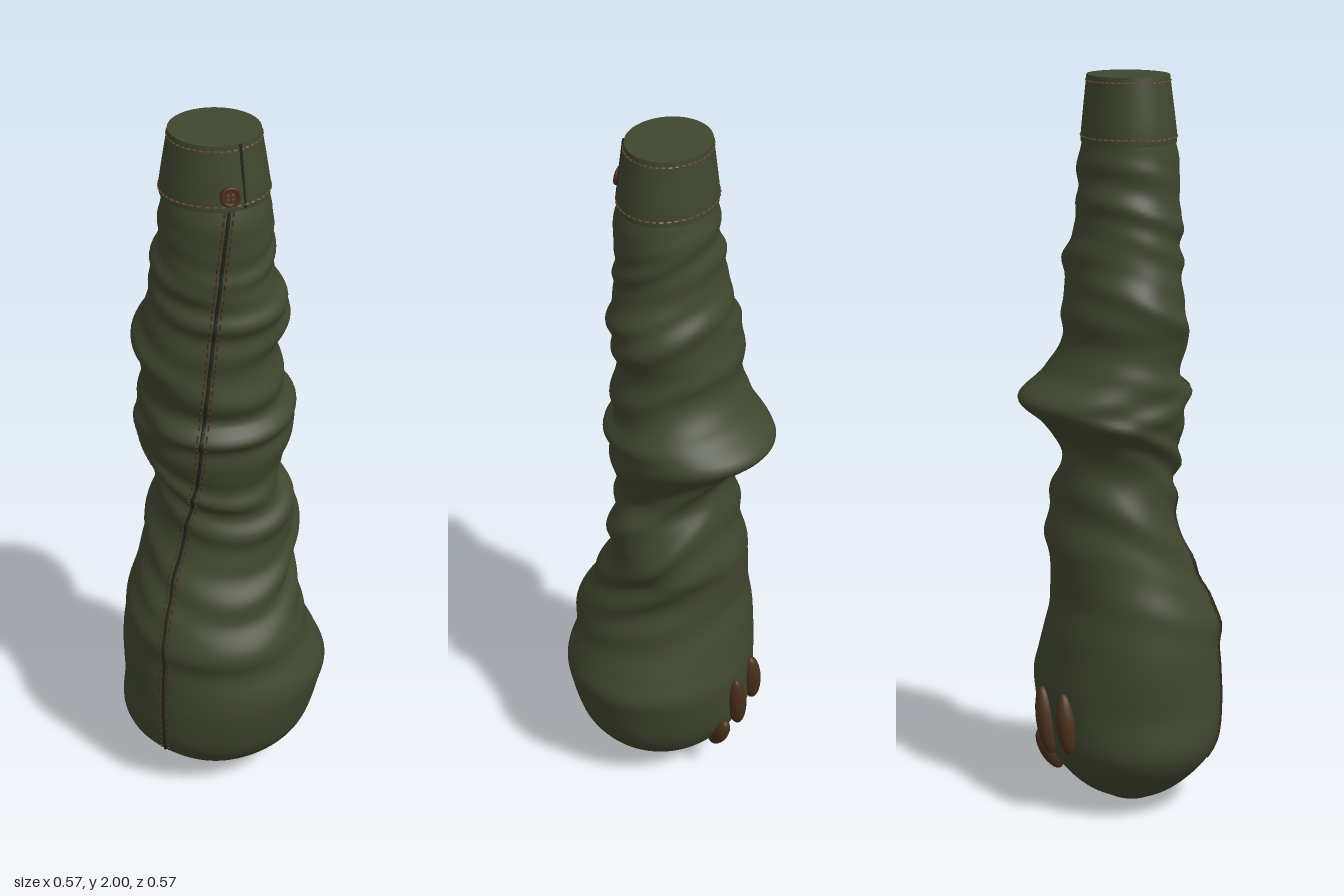
import * as THREE from 'three';
import { mergeGeometries } from 'three/addons/utils/BufferGeometryUtils.js';

const mat = (name, color) => Object.assign(new THREE.MeshStandardMaterial({ color }), { name });

// Sleeve outline, one row per height: y, -x side, +x side, front z, back z
const SLEEVE = [
  [0, -.03, -.03, .03, .03], [.006, -.08, .022, .075, -.02], [.02, -.115, .06, .11, -.05],
  [.05, -.172, .118, .158, -.105], [.1, -.233, .182, .212, -.158], [.15, -.272, .222, .252, -.192],
  [.2, -.288, .246, .271, -.212], [.3, -.282, .272, .286, -.222], [.36, -.284, .284, .284, -.223],
  [.42, -.285, .262, .276, -.215], [.5, -.28, .226, .268, -.205], [.6, -.263, .198, .232, -.187],
  [.7, -.236, .18, .182, -.196], [.75, -.225, .188, .165, -.2], [.82, -.21, .194, .148, -.182],
  [.9, -.196, .176, .142, -.165], [.96, -.19, .145, .148, -.161], [1.02, -.205, .158, .158, -.17],
  [1.08, -.235, .182, .168, -.21], [1.15, -.242, .188, .17, -.284], [1.22, -.228, .165, .16, -.205],
  [1.3, -.225, .146, .158, -.16], [1.37, -.238, .142, .162, -.16], [1.45, -.224, .162, .155, -.146],
  [1.52, -.2, .16, .158, -.138], [1.6, -.192, .13, .156, -.122], [1.7, -.172, .124, .155, -.11],
  [1.78, -.164, .122, .156, -.104], [1.84, -.158, .108, .14, -.094],
];
const CUFF = [[1.825, -.166, .116, .146, -.1], [1.845, -.167, .117, .147, -.1], [2, -.143, .093, .129, -.086]];

// Diagonal folds: centre height, tilt, angle where strongest, half width, depth
const FOLDS = [
  [.56, .07, .5, .045, .013], [.68, .14, 1.1, .05, .016], [.8, .16, 1.5, .045, .015],
  [.78, .12, 3.6, .05, .014], [.95, .12, .9, .035, .013], [1.03, .1, -.6, .03, .014],
  [1.2, .05, .3, .03, .014], [1.12, -.04, -1.2, .03, .01], [1.32, .07, .8, .035, .012],
  [1.38, .09, -1, .04, .014], [1.47, .07, 2.4, .04, .012], [1.55, .06, .4, .03, .011],
  [1.63, .05, -1.4, .03, .01], [1.69, .07, 1.3, .025, .009], [1.74, .05, 3.4, .03, .009],
];

// Smooth interpolation of one table column at height y
function sample(rows, y, col) {
  let i = 0;
  while (i < rows.length - 2 && y > rows[i + 1][0]) i++;
  const p = k => rows[Math.min(Math.max(k, 0), rows.length - 1)];
  const slope = k => (p(k + 1)[col] - p(k - 1)[col]) / (p(k + 1)[0] - p(k - 1)[0]);
  const h = p(i + 1)[0] - p(i)[0], t = (y - p(i)[0]) / h, s = t * t * (3 - 2 * t);
  return p(i)[col] * (1 - s) + p(i + 1)[col] * s
    + h * (t * (1 - t) ** 2 * slope(i) - t * t * (1 - t) * slope(i + 1));
}

function section(rows, y) {
  const [l, r, f, b] = [1, 2, 3, 4].map(c => sample(rows, y, c));
  return { cx: (l + r) / 2, rx: (r - l) / 2, cz: (f + b) / 2, rz: (f - b) / 2 };
}

// Angle 0 faces the front and grows towards +x
function surface(rows, a, y) {
  const s = section(rows, y);
  let d = 0;
  if (rows === SLEEVE) {
    for (const [y0, tilt, centre, w, amp] of FOLDS) {
      const u = (y - y0 + tilt * Math.cos(a - .35)) / w;
      d += amp * (1 - u * u) * Math.exp(-u * u / 1.6) * (.1 + .9 * Math.cos((a - centre) / 2) ** 2);
    }
    d *= THREE.MathUtils.smoothstep(y, .3, .5) * (1 - THREE.MathUtils.smoothstep(y, 1.74, 1.82));
  }
  return new THREE.Vector3(s.cx + (s.rx + d) * Math.sin(a), y, s.cz + (s.rz + d) * Math.cos(a));
}

function loft(rows, heights, n) {
  const pos = [], idx = [];
  heights.forEach((y, r) => {
    for (let k = 0; k < n; k++) {
      pos.push(...surface(rows, k / n * Math.PI * 2, y).toArray());
      if (!r) continue;
      const a = (r - 1) * n + k, b = (r - 1) * n + (k + 1) % n;
      idx.push(a, b, b + n, a, b + n, a + n);
    }
  });
  const g = new THREE.BufferGeometry();
  g.setAttribute('position', new THREE.Float32BufferAttribute(pos, 3));
  g.setIndex(idx);
  g.computeVertexNormals();
  return g;
}

// Local frame on the surface: x around, y up, z outward
function frame(rows, a, y, lift = 0) {
  const p = surface(rows, a, y), e = .01;
  const up = surface(rows, a, y + e).sub(surface(rows, a, y - e)).normalize();
  const out = surface(rows, a + e, y).sub(surface(rows, a - e, y)).cross(up).normalize();
  const m = new THREE.Matrix4().makeBasis(up.clone().cross(out), up, out);
  return m.setPosition(p.addScaledVector(out, lift));
}

// A stitch between two points
function stitch(p, q, width = .004) {
  const turn = new THREE.Quaternion().setFromUnitVectors(new THREE.Vector3(0, 1, 0), q.clone().sub(p).normalize());
  const mid = p.clone().add(q).multiplyScalar(.5);
  return new THREE.BoxGeometry(width, p.distanceTo(q), width)
    .applyMatrix4(new THREE.Matrix4().compose(mid, turn, new THREE.Vector3(1, 1, 1)));
}

export function createModel() {
  const group = new THREE.Group();
  const cloth = mat('olive cloth', 0x40462f), seamMat = mat('dark seam', 0x22261a);
  const thread = mat('brown thread', 0x6a5034), brown = mat('dark brown', 0x49301c);
  const add = (name, geo, m) => {
    const mesh = new THREE.Mesh(geo, m);
    mesh.name = name;
    group.add(mesh);
    return mesh;
  };

  // Sleeve with rounded closed end; rows gather towards the bottom
  const heights = Array.from({ length: 221 }, (_, i) => 1.84 * (i / 220) ** 1.25);
  add('sleeve', loft(SLEEVE, heights, 96), cloth);

  // Cuff, its underside lip and flat top
  add('cuff', loft(CUFF, [1.825, 1.845, 1.89, 1.93, 1.97, 2], 64), cloth);
  const top = section(CUFF, 2), low = section(CUFF, 1.825);
  const disc = (s, y, flip) => new THREE.CircleGeometry(1, 64).rotateX(flip * -Math.PI / 2)
    .scale(s.rx, 1, s.rz).translate(s.cx, y, s.cz);
  add('cuffTop', disc(top, 2, 1), cloth);
  add('cuffUnderside', disc(low, 1.825, -1), cloth);

  // Stitch rings round the cuff
  const rings = [];
  for (const y of [1.84, 1.985])
    for (let k = 0; k < 44; k++) {
      const a = k / 44 * Math.PI * 2;
      rings.push(stitch(surface(CUFF, a, y), surface(CUFF, a + .085, y)));
    }
  add('cuffStitches', mergeGeometries(rings), thread);

  // Overlap line of the cuff
  add('cuffOverlap', stitch(surface(CUFF, .6, 1.83), surface(CUFF, .6, 1.999), .007), seamMat);

  // Long seam wandering down the front with a row of stitches on each side
  const path = new THREE.SplineCurve([[.015, 1.825], [-.02, 1.5], [-.05, 1.2], [-.07, 1], [-.11, .8],
    [-.15, .6], [-.162, .4], [-.162, .13]].map(p => new THREE.Vector2(...p)));
  const seamPoint = (t, side, lift) => {
    const { x, y } = path.getPointAt(t), s = section(SLEEVE, y);
    const a = Math.asin(THREE.MathUtils.clamp((x - s.cx) / s.rx, -1, 1));
    return new THREE.Vector3(side, 0, lift).applyMatrix4(frame(SLEEVE, a, y));
  };
  const line = Array.from({ length: 100 }, (_, i) => seamPoint(i / 99, 0, 0));
  add('seam', new THREE.TubeGeometry(new THREE.CatmullRomCurve3(line), 200, .005, 6), seamMat);
  const seamStitches = [];
  for (const side of [-.012, .012])
    for (let k = 0; k < 76; k++)
      seamStitches.push(stitch(seamPoint(k / 76, side, .001), seamPoint((k + .6) / 76, side, .001)));
  add('seamStitches', mergeGeometries(seamStitches), brown);

  // Button with rim and four holes
  const button = new THREE.Group();
  button.name = 'button';
  const part = (geo, m, x = 0, y = 0, z = 0) => {
    const mesh = new THREE.Mesh(geo, m);
    mesh.position.set(x, y, z);
    button.add(mesh);
  };
  part(new THREE.CylinderGeometry(.026, .026, .01, 24).rotateX(Math.PI / 2), brown);
  part(new THREE.TorusGeometry(.022, .005, 8, 24), brown, 0, 0, .005);
  for (const x of [-.006, .006]) for (const y of [-.006, .006])
    part(new THREE.CylinderGeometry(.003, .003, .002, 8).rotateX(Math.PI / 2), thread, x, y, .006);
  button.applyMatrix4(frame(CUFF, .3, 1.87, .005));
  group.add(button);

  // Leaf-shaped elbow studs low on the back: angle, height, half width, half height
  for (const [a, y, w, h] of [[3.56, .27, .028, .085], [3.2, .255, .028, .095], [2.98, .155, .025, .065]]) {
    const stud = add('backStud', new THREE.SphereGeometry(1, 20, 14).scale(w, h, .028), brown);
    stud.applyMatrix4(frame(SLEEVE, a, y, .004));
  }
  return group;
}
